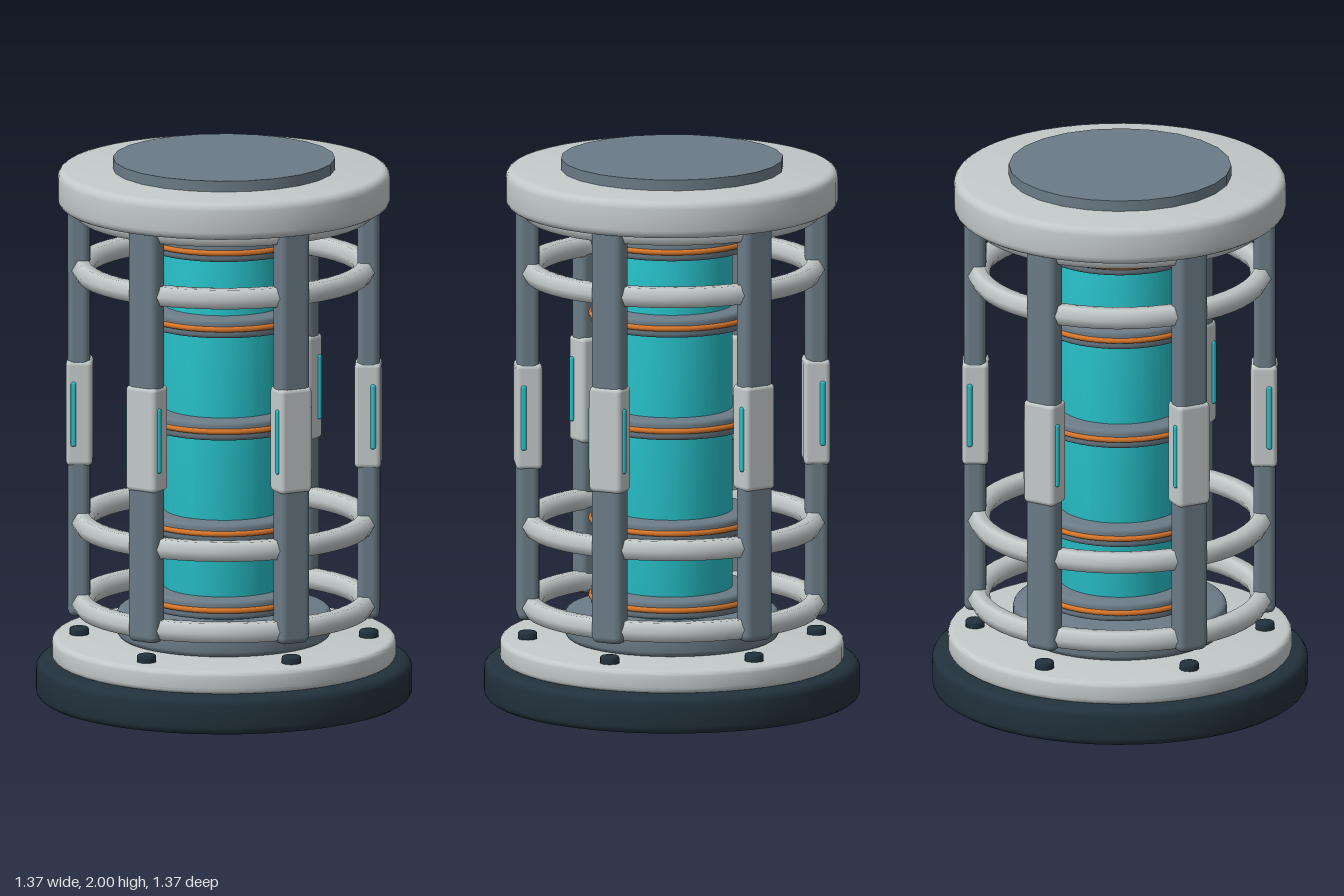
import * as THREE from 'three';
import { toCreasedNormals } from 'three/addons/utils/BufferGeometryUtils.js';
import { RoundedBoxGeometry } from 'three/addons/geometries/RoundedBoxGeometry.js';

const material = (color) => new THREE.MeshStandardMaterial({ color });

// Disc of revolution from y0 to y1 with rounded rims
function disc(radius, y0, y1, bevel, segments = 48) {
  const points = [new THREE.Vector2(0, y0)];
  const steps = 4;
  for (let i = 0; i <= steps; i++) {
    const a = -Math.PI / 2 + (i / steps) * Math.PI / 2;
    points.push(new THREE.Vector2(radius - bevel + bevel * Math.cos(a), y0 + bevel + bevel * Math.sin(a)));
  }
  for (let i = 0; i <= steps; i++) {
    const a = (i / steps) * Math.PI / 2;
    points.push(new THREE.Vector2(radius - bevel + bevel * Math.cos(a), y1 - bevel + bevel * Math.sin(a)));
  }
  points.push(new THREE.Vector2(0, y1));
  return toCreasedNormals(new THREE.LatheGeometry(points, segments), 0.55);
}

export function createModel() {
  const model = new THREE.Group();
  model.name = 'containmentColumn';

  const dark = material(0x22313c);
  const steel = material(0x6b7b86);
  const light = material(0xc3c9c9);
  const teal = material(0x27c0c8);
  const orange = material(0xd9772b);

  const add = (name, geometry, mat, parent = model) => {
    const mesh = new THREE.Mesh(geometry, mat);
    mesh.name = name;
    parent.add(mesh);
    return mesh;
  };

  // Base, plinth and top cap
  add('baseFoot', disc(0.683, 0, 0.14, 0.03), dark);
  add('baseDisc', disc(0.625, 0.14, 0.225, 0.02), light);
  add('plinth', disc(0.388, 0.225, 0.33, 0.02), steel);
  add('topCap', disc(0.603, 1.82, 1.96, 0.03), light);
  const plate = new THREE.CylinderGeometry(0.404, 0.404, 0.05, 24);
  add('topPlate', plate, steel).position.y = 1.975;

  // Glowing core with collars
  add('core', disc(0.22, 0.3, 1.768, 0.02), teal);
  const collarGeometry = disc(0.295, -0.035, 0.035, 0.015);
  const bandGeometry = new THREE.TorusGeometry(0.293, 0.011, 8, 48).rotateX(Math.PI / 2);
  for (const y of [0.38, 0.665, 1.045, 1.425, 1.708]) {
    add('coreCollar', collarGeometry, steel).position.y = y;
    add('collarBand', bandGeometry, orange).position.y = y;
  }

  // Cage hoops
  const hoopGeometry = new THREE.TorusGeometry(0.513, 0.041, 6, 48).rotateX(Math.PI / 2);
  for (const y of [0.348, 0.65, 1.588, 1.82]) {
    add('cageHoop', hoopGeometry, light).position.y = y;
  }

  // Six posts, each with a sleeve, two light strips and a stud below
  const postGeometry = new RoundedBoxGeometry(0.08, 1.55, 0.122, 2, 0.025);
  const sleeveGeometry = new RoundedBoxGeometry(0.097, 0.392, 0.13, 2, 0.018);
  const stripGeometry = new RoundedBoxGeometry(0.02, 0.24, 0.02, 2, 0.008);
  const studGeometry = disc(0.035, 0.215, 0.252, 0.008, 16);
  for (let i = 0; i < 6; i++) {
    const station = new THREE.Group();
    station.name = 'postAssembly';
    station.rotation.y = (i * Math.PI) / 3;
    model.add(station);
    add('post', postGeometry, steel, station).position.set(0.526, 1.075, 0);
    add('sleeve', sleeveGeometry, light, station).position.set(0.524, 1.057, 0);
    for (const side of [-1, 1]) {
      add('lightStrip', stripGeometry, teal, station).position.set(0.544, 1.055, side * 0.064);
    }
    add('stud', studGeometry, dark, station).position.x = 0.526;
  }

  return model;
}
